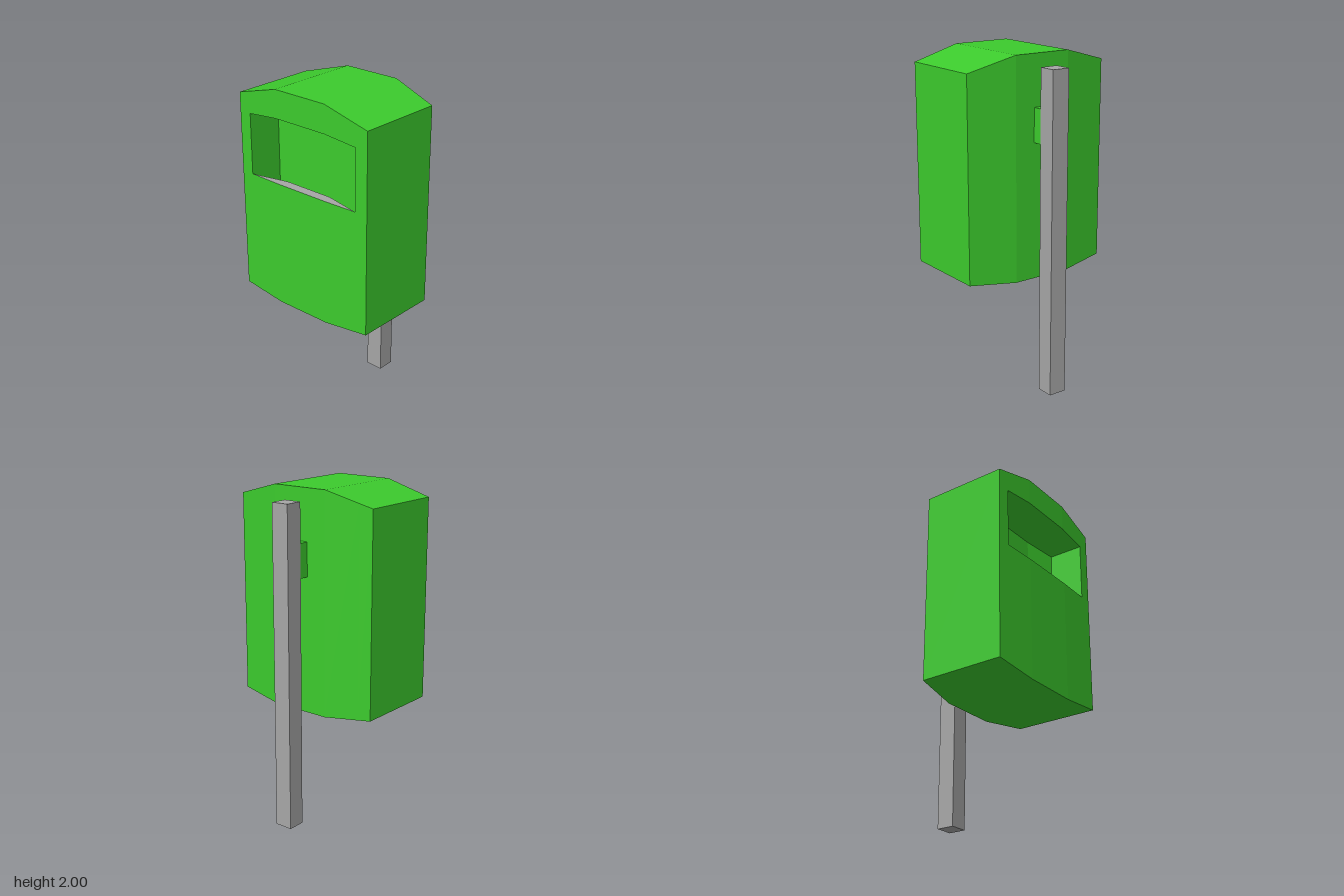
import * as THREE from 'three';

// Piecewise profile: value at the flat middle, sloping to the value at the side edges
const bend = (mid, edge) => x => {
  const t = Math.max(0, (Math.abs(x) - 0.18) / 0.29);
  return mid + (edge - mid) * t;
};
const top = bend(2.0, 1.92);
const bottom = bend(0.69, 0.72);
const front = bend(0.375, 0.365);
const back = bend(-0.213, -0.165);
const slotTop = bend(1.835, 1.804);
const slotBack = bend(0.11, 0.165);
const SLOT_SILL = 1.45, SLOT_FLOOR = 1.1, SLOT_X = 0.39;

// Flat-shaded geometry from quads given counter-clockwise
function quadGeometry(quads) {
  const p = [];
  for (const [a, b, c, d] of quads) p.push(...a, ...b, ...c, ...a, ...c, ...d);
  const g = new THREE.BufferGeometry();
  g.setAttribute('position', new THREE.Float32BufferAttribute(p, 3));
  g.computeVertexNormals();
  return g;
}

// Quad between two columns a < b, with lower and upper edge rules; facing +z, or -z when flipped
function panel(a, b, lowY, highY, z, flip = false) {
  const q = [[a, lowY(a), z(a)], [b, lowY(b), z(b)], [b, highY(b), z(b)], [a, highY(a), z(a)]];
  return flip ? q.reverse() : q;
}

// Quad running front to back between two columns; facing up, or down when flipped
function deck(a, b, y, zBack, zFront, flip = false) {
  const q = [[a, y(a), zFront(a)], [b, y(b), zFront(b)], [b, y(b), zBack(b)], [a, y(a), zBack(a)]];
  return flip ? q.reverse() : q;
}

// Quad at constant x; facing +x, or -x when flipped
function side(x, lowY, highY, zBack, zFront, flip = false) {
  const q = [[x, lowY, zFront], [x, lowY, zBack], [x, highY, zBack], [x, highY, zFront]];
  return flip ? q.reverse() : q;
}

export function createModel() {
  const model = new THREE.Group();
  model.name = 'postBox';
  const green = new THREE.MeshStandardMaterial({ color: 0x3ccb2d });
  green.name = 'green paint';
  const grey = new THREE.MeshStandardMaterial({ color: 0xa6a6a6, side: THREE.DoubleSide });
  grey.name = 'grey metal';

  const add = (name, geometry, material) => {
    const mesh = new THREE.Mesh(geometry, material);
    mesh.name = name;
    model.add(mesh);
    return mesh;
  };

  const sill = () => SLOT_SILL, floor = () => SLOT_FLOOR;
  const columns = [-0.47, -SLOT_X, -0.18, 0.18, SLOT_X, 0.47];
  const shell = [], pocket = [];
  for (let i = 0; i < columns.length - 1; i++) {
    const a = columns[i], b = columns[i + 1];
    shell.push(panel(a, b, bottom, top, back, true));
    shell.push(deck(a, b, top, back, front), deck(a, b, bottom, back, front, true));
    if (i === 0 || i === 4) {
      shell.push(panel(a, b, bottom, top, front));
    } else {
      // Front above and below the slot, and the hollow behind it
      shell.push(panel(a, b, bottom, sill, front), panel(a, b, slotTop, top, front));
      pocket.push(panel(a, b, floor, slotTop, slotBack));
      pocket.push(panel(a, b, floor, sill, x => front(x) - 0.005, true));
      pocket.push(deck(a, b, slotTop, slotBack, front, true), deck(a, b, floor, slotBack, front));
    }
  }
  for (const s of [-1, 1]) {
    const x = s * 0.47, w = s * SLOT_X;
    shell.push(side(x, bottom(x), top(x), back(x), front(x), s < 0));
    pocket.push(side(w, SLOT_FLOOR, slotTop(w), slotBack(w), front(w), s > 0));
  }
  add('boxShell', quadGeometry(shell), green);
  add('slotPocket', quadGeometry(pocket), green);

  // Crescent shelf on the slot's lower edge
  const rim = [[-SLOT_X, front(SLOT_X)], [-0.18, 0.375], [0.18, 0.375], [SLOT_X, front(SLOT_X)], [0.16, 0.315], [-0.16, 0.315]];
  const shelf = new THREE.ShapeGeometry(new THREE.Shape(rim.map(([x, z]) => new THREE.Vector2(x, -z))));
  shelf.rotateX(-Math.PI / 2);
  add('slotShelf', shelf, grey).position.y = SLOT_SILL;

  // Mounting bracket and post
  add('bracket', new THREE.BoxGeometry(0.11, 0.2, 0.07), green).position.set(0, 1.6, -0.236);
  add('post', new THREE.BoxGeometry(0.11, 1.93, 0.108), grey).position.set(0, 0.965, -0.324);

  return model;
}
